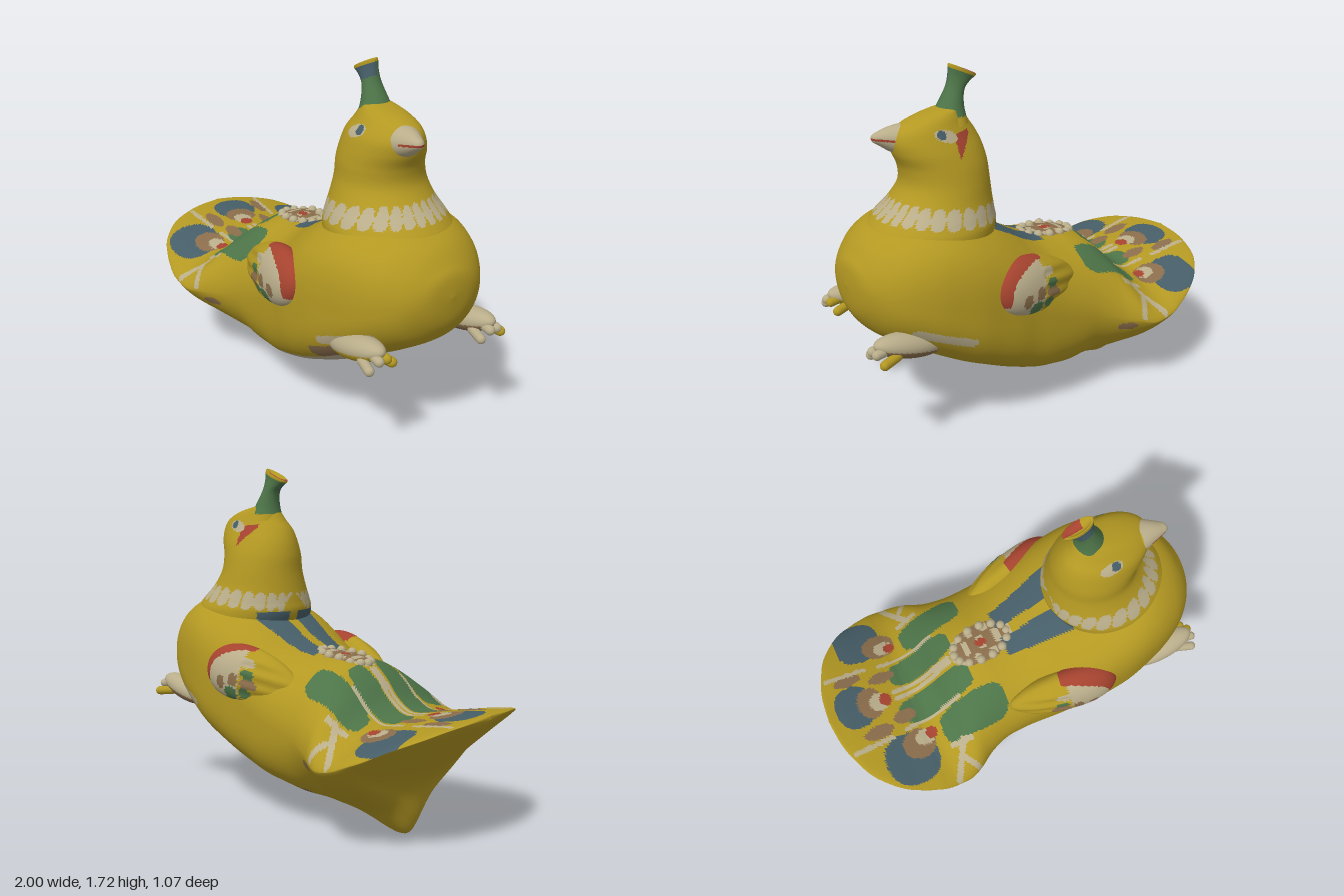
import * as THREE from 'three';

const COLORS = {
  yellow: 0xb39822, cream: 0xb9ad8a, green: 0x4d7448, blue: 0x465e68, red: 0xa5432f,
  brown: 0x8a6d4b, clay: 0xb8ac90, darkBrown: 0x765c3c,
};
const KEYS = Object.keys(COLORS);

// Closed skin over rings: f(t, a) gives a point, t along the part, a around it
function loft(nI, nJ, f) {
  const pos = [], idx = [];
  for (let i = 0; i <= nI; i++)
    for (let j = 0; j < nJ; j++) pos.push(...f(i / nI, (j / nJ) * Math.PI * 2));
  for (let i = 0; i < nI; i++)
    for (let j = 0; j < nJ; j++) {
      const k = (j + 1) % nJ, a = i * nJ + j, b = a + nJ, c = i * nJ + k, d = c + nJ;
      idx.push(a, b, c, b, d, c);
    }
  const g = new THREE.BufferGeometry();
  g.setAttribute('position', new THREE.Float32BufferAttribute(pos, 3));
  g.setIndex(idx);
  g.computeVertexNormals();
  return g;
}

// Smooth interpolation through the rows of a station table
function sample(rows, t) {
  const s = t * (rows.length - 1), i = Math.min(Math.floor(s), rows.length - 2), u = s - i;
  const at = k => rows[Math.max(0, Math.min(rows.length - 1, k))];
  return rows[i].map((_, c) => {
    const p0 = at(i - 1)[c], p1 = at(i)[c], p2 = at(i + 1)[c], p3 = at(i + 2)[c];
    const m1 = (p2 - p0) / 2, m2 = (p3 - p1) / 2;
    return p1 + u * (m1 + u * (3 * (p2 - p1) - 2 * m1 - m2 + u * (2 * (p1 - p2) + m1 + m2)));
  });
}

// Sort triangles into one geometry group per colour chosen by rule(centre, normal)
function paint(g, rule) {
  const p = g.attributes.position, ix = g.index.array, bins = KEYS.map(() => []);
  const v = [0, 1, 2].map(() => new THREE.Vector3()), n = new THREE.Vector3(), c = new THREE.Vector3();
  const tri = new THREE.Triangle(...v);
  for (let i = 0; i < ix.length; i += 3) {
    v.forEach((q, k) => q.fromBufferAttribute(p, ix[i + k]));
    tri.set(...v).getNormal(n);
    tri.getMidpoint(c);
    bins[KEYS.indexOf(rule(c, n))].push(ix[i], ix[i + 1], ix[i + 2]);
  }
  g.setIndex(bins.flat());
  let start = 0;
  bins.forEach((b, m) => {
    if (b.length) g.addGroup(start, b.length, m);
    start += b.length;
  });
  return g;
}

const spow = (v, e) => Math.sign(v) * Math.pow(Math.abs(v), e);
const inside = (x, y, cx, cy, rx, ry, p = 2) => Math.abs((x - cx) / rx) ** p + Math.abs((y - cy) / ry) ** p < 1;
function nearLine(x, y, [ax, ay, bx, by, w]) {
  const dx = bx - ax, dy = by - ay;
  const t = Math.max(0, Math.min(1, ((x - ax) * dx + (y - ay) * dy) / (dx * dx + dy * dy)));
  return Math.hypot(x - ax - t * dx, y - ay - t * dy) < w;
}

// Body and fan tail: x, bottom, widest height, top, half width, top and bottom exponents, keel depth
const TAIL = [
  [-1, .62, .63, .64, 0, 1.6, 1.3, 0], [-.985, .6, .625, .64, .14, 1.6, 1.3, 0],
  [-.95, .565, .61, .635, .25, 1.6, 1.3, 0], [-.9, .52, .585, .63, .35, 1.6, 1.3, 0],
  [-.8, .42, .54, .615, .45, 1.6, 1.25, 0], [-.7, .32, .49, .6, .5, 1.6, 1.25, 0],
  [-.64, .24, .465, .59, .52, 1.6, 1.25, .01], [-.605, .17, .45, .585, .53, 1.6, 1.25, .08],
  [-.57, .13, .435, .58, .535, 1.6, 1.25, .115], [-.52, .1, .42, .59, .535, 1.6, 1.25, .1],
  [-.45, .09, .41, .64, .53, 1.6, 1.3, .075], [-.38, .085, .42, .72, .5, 1.7, 1.4, .045],
  [-.3, .09, .43, .785, .45, 1.8, 1.6, .02], [-.2, .105, .46, .815, .415, 1.9, 1.9, .005],
  [-.1, .12, .48, .82, .405, 2, 2.3, 0], [0, .15, .5, .835, .405, 2.1, 2.7, 0],
];
const CHEST = [
  [.1, .175, .53, .88, .41, 2.2, 3, 0], [.2, .205, .56, .94, .415, 2.4, 3, 0],
  [.3, .245, .59, .99, .425, 2.6, 3, 0], [.4, .29, .62, 1.02, .425, 2.9, 3, 0],
  [.5, .335, .65, 1.045, .42, 3, 2.9, 0], [.6, .385, .68, 1.06, .4, 3, 2.7, 0],
  [.7, .44, .71, 1.06, .37, 2.7, 2.5, 0], [.8, .5, .74, 1.03, .32, 2.4, 2.3, 0],
  [.87, .55, .76, .99, .26, 2.1, 2.2, 0], [.92, .61, .78, .93, .19, 2, 2, 0],
  [.95, .68, .79, .88, .11, 2, 2, 0], [.962, .79, .79, .79, 0, 2, 2, 0],
];
// Neck and head: y, back x, front x, half depth, z shift
const NECK = [
  [.88, .26, .74, .23, .01], [.94, .225, .81, .285, .01], [1, .205, .825, .288, .01],
  [1.05, .21, .79, .268, .01], [1.12, .22, .715, .232, .005], [1.2, .23, .66, .205, 0],
  [1.28, .235, .66, .19, .005], [1.35, .25, .69, .17, .01], [1.41, .275, .7, .145, .015],
  [1.46, .31, .67, .115, .01], [1.5, .335, .585, .088, .005], [1.53, .355, .46, .055, 0], [1.54, .39, .41, 0, 0],
];

// Tail ornaments seen from above: colour, x, z, radius x, radius z, roundness
const SPOTS = [
  ['red', -.57, -.27, .03, .028], ['red', -.695, 0, .03, .035], ['red', -.55, .25, .03, .03],
  ['cream', -.6, -.28, .05, .04], ['cream', -.73, 0, .05, .05], ['cream', -.59, .26, .05, .04],
  ['brown', -.62, -.3, .085, .07], ['brown', -.77, -.01, .07, .085], ['brown', -.63, .28, .085, .075],
  ['blue', -.715, -.365, .12, .12, 2.6], ['blue', -.85, -.02, .1, .115, 2.4], ['blue', -.69, .335, .135, .13, 2.4],
  ['brown', -.84, -.17, .07, .03], ['brown', -.79, .15, .08, .035],
  ['brown', -.64, .12, .06, .035], ['brown', -.67, -.12, .07, .03],
  ['green', -.335, -.262, .165, .075, 4], ['green', -.32, .278, .175, .085, 4],
  ['green', -.46, -.1, .175, .068, 3.5], ['green', -.455, .11, .2, .07, 3.5],
];
// Cream quills and branches, mirrored across z: start, end, half thickness
const QUILLS = [
  [-.33, .012, -.64, .02, .012], [-.36, .176, -.66, .186, .01], [-.42, .36, -.52, .52, .016],
  [-.46, .42, -.4, .5, .014], [-.74, .2, -.94, .21, .012], [-.48, .36, -.38, .37, .014],
];

function birdRule(c, n) {
  const { x, y, z } = c, az = Math.abs(z);
  // eyes and cheek
  const ex = z > 0 ? .45 : .5;
  if (y > 1.3 && az > .06) {
    if (inside(x, y, ex + .02, 1.435, .022, .02)) return 'blue';
    if (inside(x, y, ex, 1.428 + .2 * (x - ex), .055, .027)) return 'cream';
    if (z < 0 && x > .37 && x < .46 && Math.abs(y - 1.4 + .6 * (x - .42)) < .045 * (x - .37) / .09 + .008) return 'red';
  }
  // petal collar
  const mid = 1.045 + .1 * (x - .2), turn = Math.atan2(z / .26, (x - .47) / .33) / (Math.PI * 2);
  const petal = ((turn + 1) * 26 + (y - mid) * 3) % 1;
  if (x > .215 && inside(petal, y, .5, mid, .47, .046, 2.4)) return 'cream';
  // clay underside
  const belly = .15 + .28 * x + .17 * x * x;
  if (x > -.14 && x < .74 && n.y < .1 && y < belly + .075 && z < .44 && z > -.26 + .2 * Math.max(0, x - .1)) {
    if (inside(x, z, -.04, -.15, .13, .16) || inside(x, z, .69, .32, .07, .13)) return 'darkBrown';
    return 'clay';
  }
  // smudges round the thighs and under the tail
  if (az > .2 && n.y < .4) {
    if (nearLine(x, y, [.55, .535, .78, .61, .022])) return 'cream';
    if (z > 0 && nearLine(x, y, [.49, .44, .72, .52, .035])) return 'brown';
    if (inside(x, y, -.33, .38, .045, .022)) return 'brown';
  }
  // back stripes
  if (x > -.05 && x < .29 && y > .75 && y < 1 && az > .03 && az < .13 + .2 * x) return 'blue';
  if (n.y > .15 && x < .03) {
    if (inside(x, z, -.15, 0, .165, .1)) {
      if (inside(x, z, -.15, 0, .03, .02)) return 'red';
      return Math.sin(x * 75) * Math.sin(az * 60 + .6) > .25 ? 'cream' : 'brown';
    }
    if (QUILLS.some(q => nearLine(x, az, q))) return 'cream';
    for (const [m, ...e] of SPOTS) if (inside(x, z, ...e)) return m;
  }
  return 'yellow';
}

export function createModel() {
  const group = new THREE.Group();
  const all = KEYS.map(k => new THREE.MeshStandardMaterial({ color: COLORS[k] }));
  const M = {};
  KEYS.forEach((k, i) => { all[i].name = k; M[k] = all[i]; });
  const add = (name, geo, mat, parent = group) => {
    const m = new THREE.Mesh(geo, mat);
    m.name = name;
    parent.add(m);
    return m;
  };

  // Body, leaning slightly to the near side, with a fan tail on a narrow keel
  const rows = [...TAIL, ...CHEST], { smoothstep } = THREE.MathUtils;
  add('bodyAndTail', paint(loft(189, 208, (t, a) => {
    const [x, yb, ye, yt, hw, pt, pb, keel] = sample(rows, t), s = Math.sin(a), p = s > 0 ? pt : pb;
    const z = Math.max(0, hw) * spow(Math.cos(a), 2 / p);
    const dip = .035 * z * (1 - smoothstep(x, -.5, -.2));
    const foot = s < 0 ? keel * Math.exp(-(((z + .02) / .1) ** 2)) : 0;
    return [x, ye + (s > 0 ? yt - ye : ye - yb) * spow(s, 2 / p) + dip - foot, z + .02 * smoothstep(x, -.1, .4)];
  }), birdRule), all);

  add('neckAndHead', paint(loft(108, 120, (t, a) => {
    const [y, x0, x1, hz, zc] = sample(NECK, t);
    return [(x0 + x1) / 2 + (x1 - x0) / 2 * Math.cos(a), y, zc + hz * Math.sin(a)];
  }), birdRule), all);

  // Beak with a red mouth line
  const beak = [[.58, 1.4, .03, .08, .09], [.65, 1.405, .035, .07, .078], [.7, 1.413, .045, .053, .055],
    [.74, 1.42, .053, .032, .035], [.765, 1.423, .058, .018, .02], [.775, 1.424, .06, 0, 0]];
  add('beak', paint(loft(40, 60, (t, a) => {
    const [x, y, z, ry, rz] = sample(beak, t);
    return [x, y + ry * Math.sin(a), z + rz * Math.cos(a)];
  }), c => (c.x > .675 && Math.abs(c.y - 1.414 - .1 * (c.x - .7)) < .005 ? 'red' : c.x < .632 ? 'yellow' : 'cream')), all);

  // Crest: flared stalk leaning back; x, y, tilt, radius along, radius across
  const crest = [[.415, 1.45, -.1, .09, .1], [.405, 1.51, -.05, .07, .073], [.388, 1.565, .05, .052, .055],
    [.37, 1.61, .15, .046, .043], [.348, 1.65, .3, .06, .036], [.332, 1.68, .42, .078, .034], [.329, 1.69, .42, .072, .03],
    [.333, 1.68, .42, .045, .02], [.335, 1.674, .42, 0, 0]];
  add('crest', paint(loft(64, 48, (t, a) => {
    const [x, y, tilt, r, rz] = sample(crest, t), u = r * Math.cos(a);
    return [x + u * Math.cos(tilt), y + u * Math.sin(tilt), rz * Math.sin(a)];
  }), (c, n) => {
    const h = (c.y - 1.685) * Math.cos(.42) - (c.x - .33) * Math.sin(.42);
    if (h > -.012) return n.y > .3 && c.z < .01 && c.x < .35 ? 'red' : 'yellow';
    if (c.y < 1.49) return 'yellow';
    return c.z > 0 && h > -.07 && c.x > .28 ? 'blue' : 'green';
  }), all);

  // Wings: teardrops with painted feather bands
  const L = .28, H = .17, T = .11;
  const wing = paint(loft(52, 56, (t, a) => {
    const u = -Math.cos(t * Math.PI), r = Math.sin(t * Math.PI) * (.82 + .2 * u), v = r * Math.sin(a);
    const groove = u < .1 ? 1 + .07 * Math.sin(v * 16) : 1;
    return [L * u, H * v, T * r * Math.cos(a) * groove];
  }), c => {
    const u = c.x / L, v = c.y / H;
    if ((u + .15) ** 2 + (v + .2) ** 2 > .9 && u > 0 && v > -.45) return 'red';
    if (u > .1) {
      if (inside(u, v, .2, -.2, .1, .18) || inside(u, v, .48, -.35, .09, .2)) return 'brown';
      return inside(u, v, .24, -.6, .14, .2) ? 'green' : 'cream';
    }
    if (u < -.4 || v > .55) return 'yellow';
    if (inside(u, v, -.08, .05, .13, .14) || inside(u, v, -.05, -.5, .12, .16)) return 'green';
    if (inside(u, v, 0, .36, .16, .14)) return 'cream';
    return inside(u, v, -.12, -.22, .2, .12) ? 'brown' : 'yellow';
  });
  for (const s of [1, -1]) {
    const g = new THREE.Group();
    g.name = s > 0 ? 'nearWing' : 'farWing';
    g.scale.z = s;
    const w = add('wing', wing, all, g);
    w.position.set(s > 0 ? .13 : .16, .705, s > 0 ? .375 : .325);
    w.rotation.set(-.2, -.2, .12);
    group.add(g);
  }

  // Feet tucked under the breast
  for (const [name, x, y, z, sole, edge] of [
    ['nearFoot', .725, .56, .35, 'yellow', 2], ['farFoot', .8, .55, -.235, 'brown', 1]]) {
    const foot = new THREE.Group();
    foot.name = name;
    foot.position.set(x, y, z);
    const leg = add('leg', paint(new THREE.SphereGeometry(1, 40, 32), c => (c.y < -.25 ? sole : 'cream')), all, foot);
    leg.scale.set(.18, .06, .07);
    leg.rotation.z = .25;
    for (let i = 0; i < 4; i++) {
      const k = i - 1.5;
      const toe = add('toe', new THREE.CapsuleGeometry(.023, .08, 6, 12), i < edge ? M.yellow : M.cream, foot);
      toe.position.set(.14 - .012 * Math.abs(k), .02 - .018 * k * k, k * .034);
      toe.rotation.set(0, -k * .2, -Math.PI / 2 - .12);
    }
    group.add(foot);
  }

  // Flower of beads on the back
  for (let i = 0; i < 14; i++) {
    const a = (i / 14) * Math.PI * 2, x = -.15 + .145 * Math.cos(a);
    const bead = add('bead', new THREE.SphereGeometry(.024, 12, 8), M.cream);
    bead.position.set(x, .808 + .08 * (x + .15) - (x < -.22 ? .012 : 0), .085 * Math.sin(a));
  }

  // Small plate set into the underside
  for (const [name, w, d, drop, mat] of [['plateRim', .09, .14, 0, M.darkBrown], ['plate', .07, .12, .003, M.cream]]) {
    const plate = add(name, new THREE.BoxGeometry(w, .009, d), mat);
    plate.position.set(.45 + drop * .4, .318 - drop, .07);
    plate.rotation.z = .43;
  }
  return group;
}
